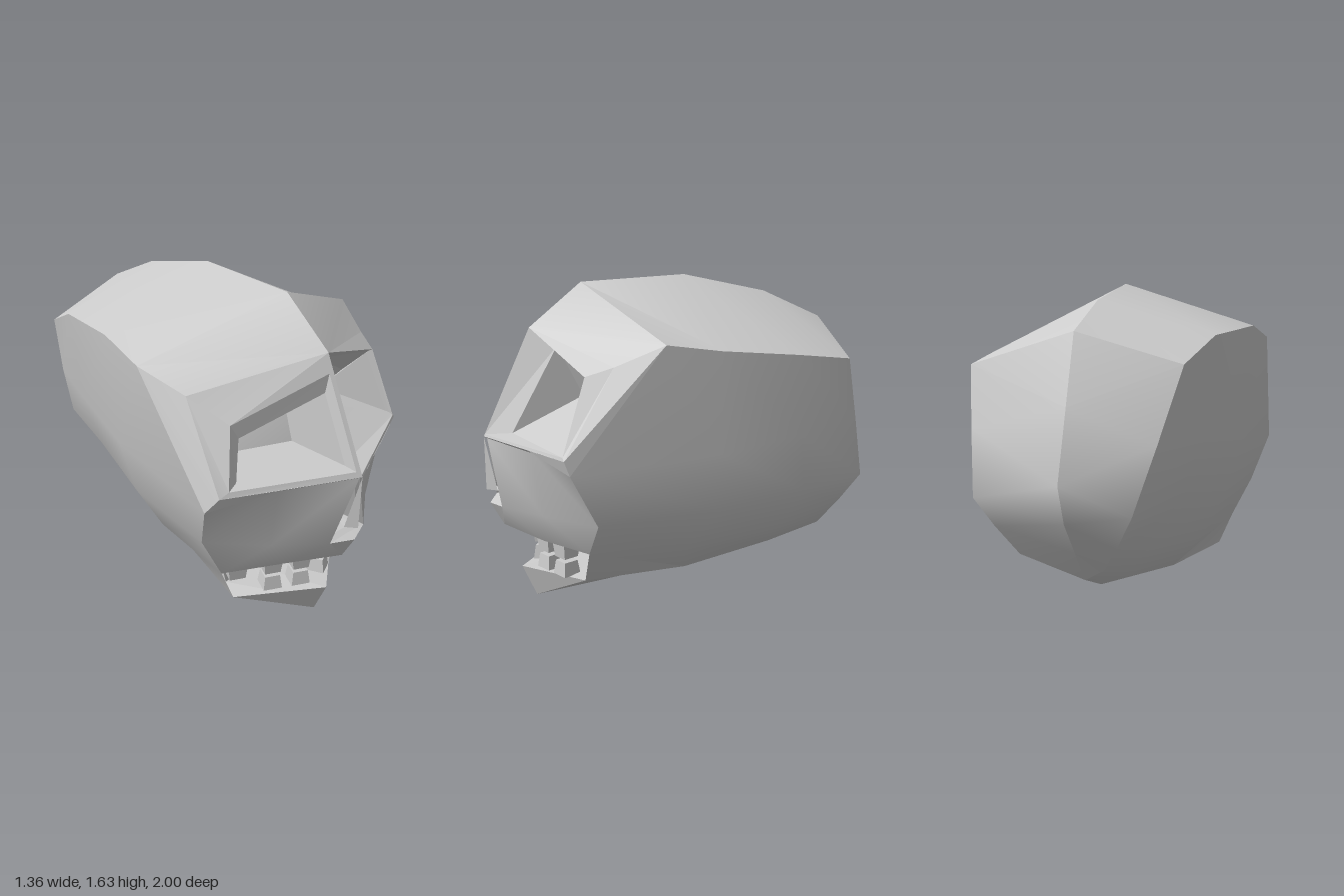
import * as THREE from 'three';
import { toCreasedNormals } from 'three/addons/utils/BufferGeometryUtils.js';

export function createModel() {
  const group = new THREE.Group();
  const material = new THREE.MeshStandardMaterial({ color: 0xcccccc, side: THREE.DoubleSide });

  // Skins a grid of points: rows of equal length, two triangles per cell.
  function skin(name, rows, crease = 0.15) {
    const pos = [];
    const tri = (...pts) => {
      const [a, b, c] = pts.map(p => new THREE.Vector3(...p));
      if (b.clone().sub(a).cross(c.clone().sub(a)).length() > 1e-7) pts.forEach(p => pos.push(...p));
    };
    for (let i = 0; i + 1 < rows.length; i++) {
      for (let j = 0; j + 1 < rows[i].length; j++) {
        const a = rows[i][j], b = rows[i][j + 1], c = rows[i + 1][j + 1], d = rows[i + 1][j];
        tri(a, b, c);
        tri(a, c, d);
      }
    }
    const geo = new THREE.BufferGeometry();
    geo.setAttribute('position', new THREE.Float32BufferAttribute(pos, 3));
    const mesh = new THREE.Mesh(toCreasedNormals(geo, crease), material);
    mesh.name = name;
    group.add(mesh);
  }
  const close = loop => [...loop, loop[0]];

  // Centre line of the skull
  const browMid = [0, 1.385, 0.76], bridge = [0, 0.86, 1], underBridge = [0, 0.85, 0.985];
  const crown = [[0, 1.6, 0.5], [0, 1.63, -0.03], [0, 1.54, -0.47], [0, 1.4, -0.79]];
  const keel = [[0, 0, 0.77], [0, 0.08, 0], [0, 0.17, -0.44], [0, 0.26, -0.67]];
  const backLine = [[0, 1.4, -0.79], [0, 1.08, -0.895], [0, 0.76, -1], [0, 0.58, -0.93], [0, 0.42, -0.8], [0, 0.26, -0.67]];
  const lip = [0, 0.4, 0.92], jawTip = [0, 0.165, 0.84];

  // Side sections, front to back; each runs from temple height down to the jaw
  const sections = {
    left: [
      [[0.68, 1.36, 0.27], [0.605, 0.79, 0.69], [0.565, 0.53, 0.56], [0.42, 0.35, 0.575], [0.335, 0.185, 0.58]],
      [[0.65, 1.32, 0], [0.66, 0.85, 0], [0.64, 0.58, 0], [0.48, 0.34, 0.12], [0.27, 0.17, 0.05]],
      [[0.595, 1.28, -0.4], [0.61, 0.9, -0.42], [0.59, 0.62, -0.45], [0.45, 0.4, -0.4], [0.25, 0.25, -0.42]],
      [[0.545, 1.245, -0.69], [0.52, 0.95, -0.75], [0.49, 0.645, -0.81], [0.42, 0.5, -0.735], [0.33, 0.355, -0.66]],
    ],
    right: [
      [[-0.68, 1.36, 0.27], [-0.65, 0.79, 0.67], [-0.57, 0.55, 0.56], [-0.46, 0.33, 0.575], [-0.385, 0.155, 0.58]],
      [[-0.65, 1.42, 0], [-0.6, 0.85, 0], [-0.51, 0.55, 0], [-0.39, 0.32, 0.05], [-0.24, 0.15, 0.05]],
      [[-0.55, 1.38, -0.45], [-0.49, 0.9, -0.46], [-0.39, 0.6, -0.47], [-0.27, 0.38, -0.46], [-0.15, 0.23, -0.44]],
      [[-0.47, 1.26, -0.72], [-0.38, 0.92, -0.82], [-0.29, 0.62, -0.89], [-0.19, 0.45, -0.79], [-0.1, 0.32, -0.69]],
    ],
  };

  // Slanted plane of the eye region
  const onFace = (x, y, depth = 0) => [x, y, 1 - 0.457 * (y - 0.86) - 0.467 * Math.abs(x) - depth];

  // Eye sockets, as loops: upper inner, upper outer, lower outer, lower inner
  const sockets = {
    left: [
      [browMid, [0.53, 1.215, 0.6], onFace(0.59, 0.875), onFace(0, 0.87)],
      [[0.08, 1.3, 0.64], [0.52, 1.205, 0.585], onFace(0.585, 0.885, 0.02), [0.08, 0.885, 0.87]],
      [[0.08, 1.06, 0.52], [0.49, 1.07, 0.45], [0.36, 1.0, 0.42], [0.08, 1.05, 0.52]],
    ],
    right: [
      [onFace(-0.02, 1.3), onFace(-0.48, 1.145), onFace(-0.56, 0.885), onFace(-0.02, 0.885)],
      [onFace(-0.035, 1.21, 0.04), onFace(-0.44, 1.075, 0.04), onFace(-0.5, 0.9, 0.04), onFace(-0.035, 0.9, 0.04)],
      [[-0.035, 1.06, 0.55], [-0.31, 1.0, 0.45], [-0.35, 0.9, 0.48], [-0.035, 0.9, 0.6]],
    ],
  };

  for (const [side, s] of [['left', 1], ['right', -1]]) {
    const sec = sections[side];
    const [templeTop, cheekbone, cheekLow, mouthCorner, jawCorner] = sec[0];
    const temple = [s * 0.585, 1.26, 0.48], eyeCorner = [s * 0.605, 0.86, 0.715];

    // Vault with forehead, side wall with jaw underside, back of the head
    skin(side + 'Vault', [[browMid, temple], ...sec.map((c, i) => [crown[i], c[0]])], 0.6);
    skin(side + 'SideWall', sec.map((c, i) => [...c, keel[i]]), 0.65);
    skin(side + 'BackOfHead', [[...sec[3], keel[3]], backLine], 0.9);

    // Temple
    skin(side + 'Temple', [[templeTop, temple], [cheekbone, eyeCorner]]);

    // Face plate around the eye and the hollow behind it
    const loops = sockets[side];
    const back = loops[loops.length - 1];
    skin(side + 'EyeSocket', [[browMid, temple, eyeCorner, bridge], ...loops].map(close));
    skin(side + 'SocketBack', [[back[0], back[1]], [back[3], back[2]]]);

    // Ledge below the eye, then cheek and upper jaw
    const cheekMid = [s * 0.35, 0.845, 0.815];
    skin(side + 'EyeLedge', [[bridge, onFace(s * 0.35, 0.86), eyeCorner], [underBridge, cheekMid, cheekbone]]);
    skin(side + 'Cheek', [
      [underBridge, cheekMid, cheekbone],
      [[s * 0.12, 0.53, 0.94], [s * 0.34, 0.535, 0.775], cheekLow],
      [lip, [s * 0.21, 0.365, 0.755], mouthCorner],
    ], 1.2);

    // Front of the lower jaw
    skin(side + 'Chin', [[jawTip, jawCorner], [keel[0], keel[0]]]);
  }

  // Nose opening with its hollow, centre bone and lower spine
  const noseRim = [underBridge, [0.12, 0.53, 0.94], [-0.12, 0.53, 0.94]];
  const noseInner = [[0, 0.81, 0.96], [0.1, 0.545, 0.91], [-0.1, 0.545, 0.91]];
  const noseBack = [[0, 0.8, 0.88], [0.08, 0.56, 0.84], [-0.08, 0.56, 0.84]];
  skin('noseOpening', [noseRim, noseInner, noseBack].map(close));
  skin('noseBack', [[noseBack[0], noseBack[0]], [noseBack[1], noseBack[2]]]);
  skin('noseBone', [
    [bridge, bridge, bridge],
    [[-0.04, 0.59, 0.95], [0, 0.59, 1], [0.04, 0.59, 0.95]],
    [[0, 0.59, 0.87], [0, 0.59, 0.87], [0, 0.59, 0.87]],
  ]);
  skin('noseSpine', [
    [noseRim[2], [0, 0.535, 0.94], noseRim[1]],
    [noseRim[2], [0, 0.52, 0.985], noseRim[1]],
    [lip, lip, lip],
  ], 1.2);

  // Mouth hollow: roof, back wall and floor
  const cornerL = sections.left[0], cornerR = sections.right[0];
  skin('mouthHollow', [
    [cornerR[3], [-0.21, 0.365, 0.755], lip, [0.21, 0.365, 0.755], cornerL[3]],
    [[-0.4, 0.34, 0.5], [-0.2, 0.36, 0.48], [0, 0.36, 0.46], [0.2, 0.36, 0.48], [0.38, 0.35, 0.5]],
    [[-0.36, 0.19, 0.5], [-0.18, 0.2, 0.48], [0, 0.2, 0.46], [0.16, 0.2, 0.48], [0.31, 0.2, 0.5]],
    [cornerR[4], [-0.1925, 0.16, 0.71], jawTip, [0.1675, 0.175, 0.71], cornerL[4]],
  ]);

  // Teeth: tapered four-sided blocks along a bent row
  const toothMaterial = new THREE.MeshStandardMaterial({ color: 0xcccccc, flatShading: true });
  function tooth(name, x, y, height, width, upper) {
    const r = width * Math.SQRT1_2;
    const geo = new THREE.CylinderGeometry(upper ? r : r * 0.8, upper ? r * 0.8 : r, height, 4);
    geo.rotateY(Math.PI / 4);
    const mesh = new THREE.Mesh(geo, toothMaterial);
    mesh.name = name;
    mesh.position.set(x, y, 0.745 - 0.5 * Math.abs(x));
    mesh.rotation.y = Math.sign(x) * 0.45;
    group.add(mesh);
  }
  for (const x of [-0.36, -0.2, -0.07, 0.08, 0.2]) tooth('upperTooth', x, 0.315, 0.09, 0.1, true);
  for (const x of [-0.2, -0.07, 0.08, 0.2]) tooth('lowerTooth', x, 0.215, 0.07, 0.095, false);

  return group;
}
